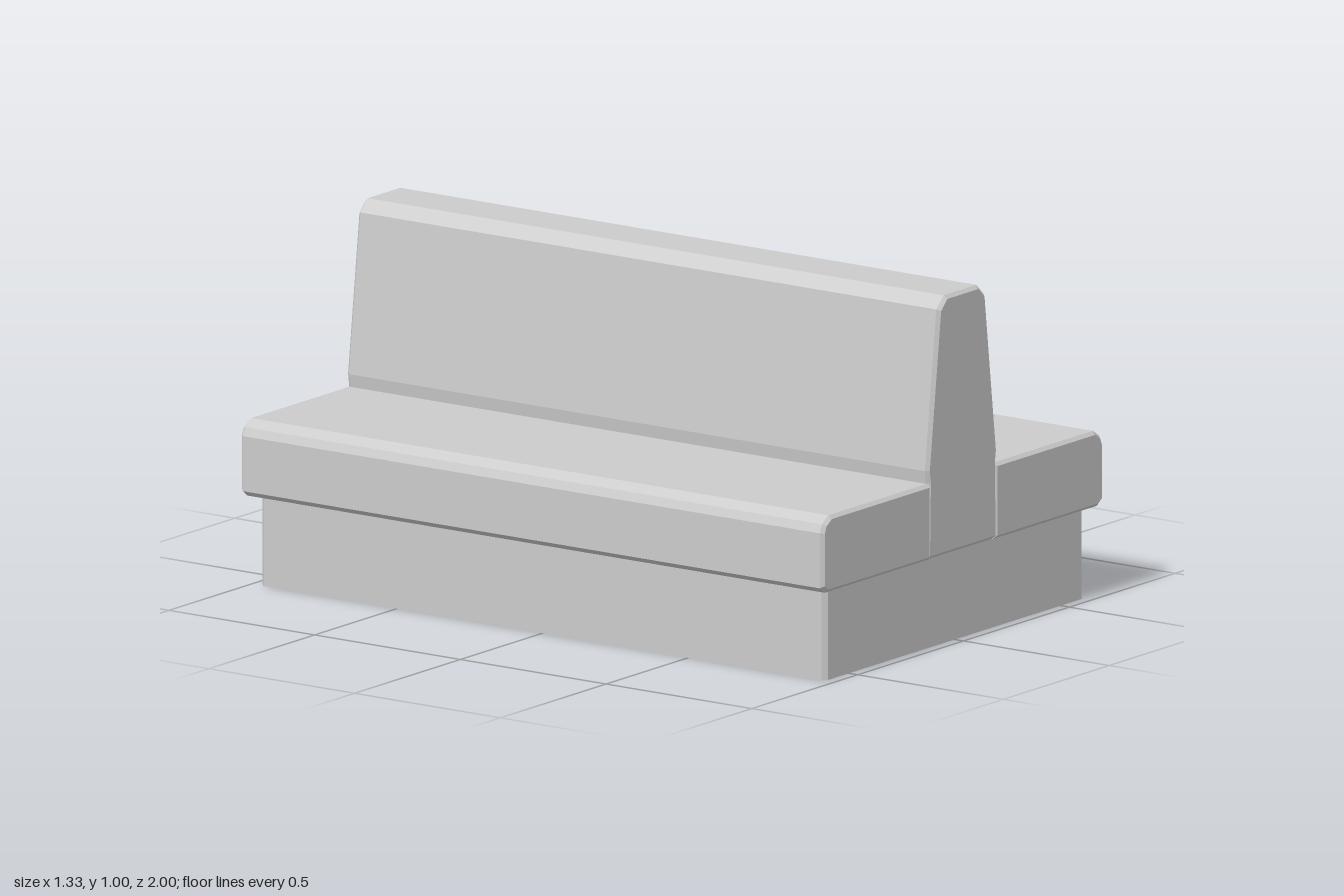
import * as THREE from 'three';

const material = new THREE.MeshStandardMaterial({ color: 0xcccccc, flatShading: true });

// Extrudes an outline by a length centred on z, with optional chamfered ends.
function prism(name, points, length, chamfer = 0) {
  const shape = new THREE.Shape(points.map(([x, y]) => new THREE.Vector2(x, y)));
  const geometry = new THREE.ExtrudeGeometry(shape, {
    depth: length - 2 * chamfer,
    bevelEnabled: chamfer > 0,
    bevelThickness: chamfer,
    bevelSize: chamfer,
    bevelOffset: -chamfer,
    bevelSegments: 1,
  });
  geometry.translate(0, 0, chamfer - length / 2);
  const mesh = new THREE.Mesh(geometry, material);
  mesh.name = name;
  return mesh;
}

// Completes a right-hand outline (bottom to top) with its mirror image.
const mirrored = (half) => [...half, ...half.map(([x, y]) => [-x, y]).reverse()];

export function createModel() {
  const model = new THREE.Group();
  model.name = 'doubleSidedBench';

  // Plinth: a block with chamfered vertical corners, extruded upwards
  const height = 0.27;
  const plinth = prism('plinth', mirrored([
    [0.598, -0.97], [0.612, -0.957], [0.612, 0.957], [0.598, 0.97],
  ]), height);
  plinth.rotation.x = -Math.PI / 2;
  plinth.position.y = height / 2;
  model.add(plinth);

  // Seat cushions on both sides of the backrest
  const seat = [
    [0.15, 0.26], [0.642, 0.26], [0.665, 0.277],
    [0.665, 0.434], [0.655, 0.458], [0.625, 0.478], [0.15, 0.478],
  ];
  model.add(prism('leftSeat', seat, 2, 0.01));
  model.add(prism('rightSeat', seat.map(([x, y]) => [-x, y]).reverse(), 2, 0.01));

  // Shared tapered backrest
  model.add(prism('backrest', mirrored([
    [0.165, 0.261], [0.161, 0.478], [0.166, 0.515], [0.112, 0.966], [0.077, 1.0],
  ]), 1.996, 0.01));

  return model;
}
